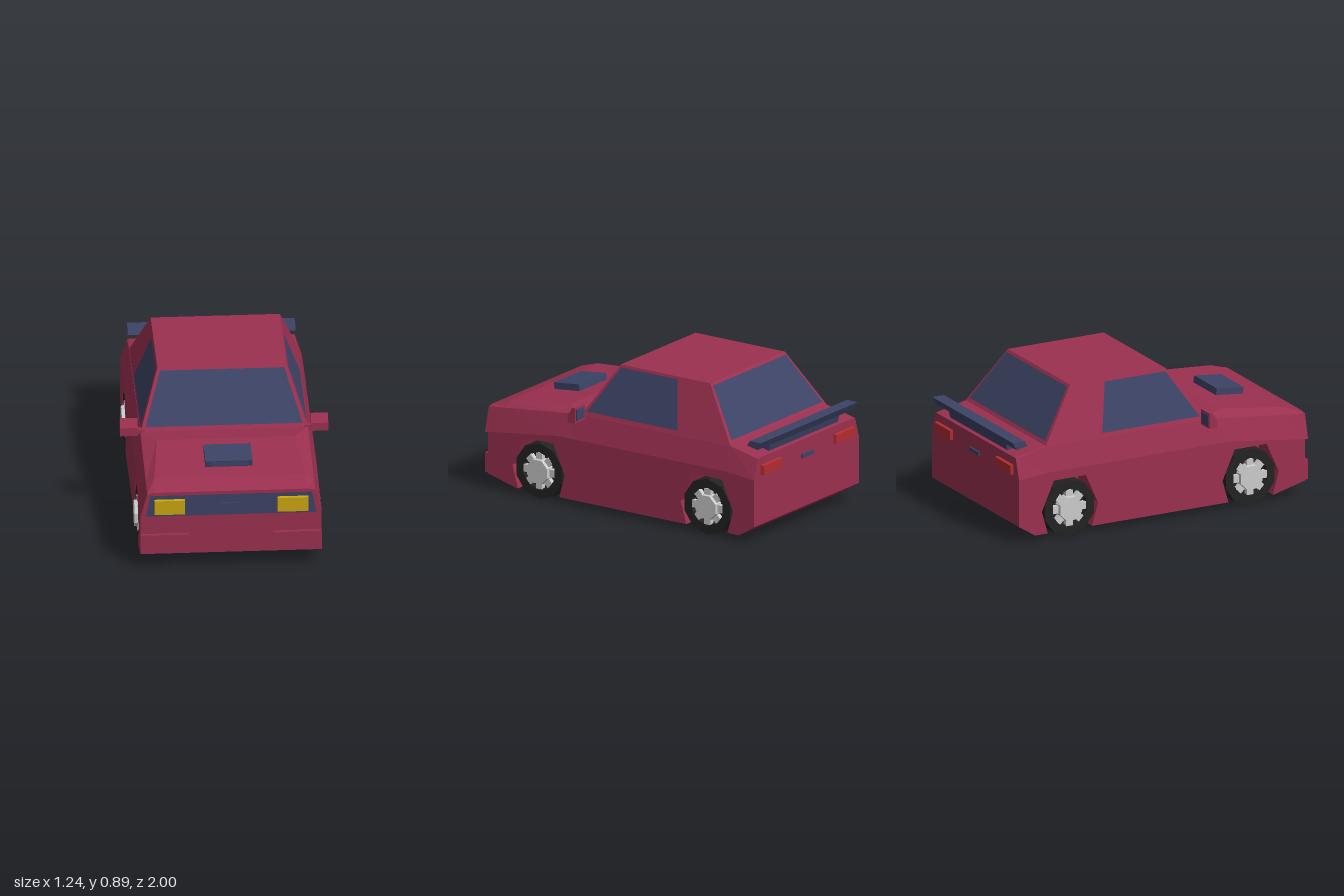
import * as THREE from 'three';

const mat = (name, color) => Object.assign(new THREE.MeshStandardMaterial({ color }), { name });

export function createModel() {
  const paint = mat('body red', 0x9b3050);
  const navy = mat('navy trim and glass', 0x3c4365);
  const yellow = mat('headlight yellow', 0xcaa511);
  const red = mat('tail light red', 0xb32c30);
  const black = mat('tyre black', 0x222222);
  const silver = mat('hub silver', 0xcccccc);
  const car = new THREE.Group();
  car.name = 'car';

  const add = (name, geo, material, parent = car) => {
    const mesh = new THREE.Mesh(geo, material);
    mesh.name = name;
    parent.add(mesh);
    return mesh;
  };
  const flat = (geo) => {
    const g = geo.index ? geo.toNonIndexed() : geo;
    g.computeVertexNormals();
    return g;
  };
  const box = (w, h, d, x, y, z) => new THREE.BoxGeometry(w, h, d).translate(x, y, z);
  const shapeOf = (pts) => new THREE.Shape(pts.map(([a, b]) => new THREE.Vector2(a, b)));

  // Side profile of [z, y] points, extruded from x0 to x1
  const sideExtrude = (pts, x0, x1) =>
    new THREE.ExtrudeGeometry(shapeOf(pts), { depth: x1 - x0, bevelEnabled: false })
      .rotateY(-Math.PI / 2).translate(x1, 0, 0);

  // Skin between rings; each ring runs anticlockwise seen from the first ring's side
  const loft = (rings) => {
    const p = [];
    const tri = (...v) => v.forEach((q) => p.push(...q));
    const n = rings[0].length, last = rings[rings.length - 1];
    for (let k = 0; k < rings.length - 1; k++) {
      for (let i = 0; i < n; i++) {
        const j = (i + 1) % n, a = rings[k], b = rings[k + 1];
        tri(a[i], b[i], a[j]);
        tri(a[j], b[i], b[j]);
      }
    }
    for (let i = 1; i < n - 1; i++) {
      tri(rings[0][0], rings[0][i], rings[0][i + 1]);
      tri(last[0], last[i + 1], last[i]);
    }
    const g = new THREE.BufferGeometry();
    g.setAttribute('position', new THREE.Float32BufferAttribute(p, 3));
    return flat(g);
  };

  // Flat pane from four anticlockwise corners, lifted slightly along its normal
  const pane = (corners) => {
    const [a, b, c, d] = corners.map((v) => new THREE.Vector3(...v));
    const n = b.clone().sub(a).cross(c.clone().sub(a)).normalize().multiplyScalar(0.004);
    const g = new THREE.BufferGeometry().setFromPoints([a, b, c, a, c, d].map((v) => v.clone().add(n)));
    g.computeVertexNormals();
    return g;
  };

  // Lower body: solid core plus side walls with wheel arches
  const axles = [0.59, -0.635];
  const arch = (c) => [[0.15, 0.03], [0.19, 0.17], [0.108, 0.355], [-0.108, 0.355], [-0.19, 0.17], [-0.15, 0.03]]
    .map(([z, y]) => [c + z, y]);
  const nose = [[0.96, 0.085], [0.75, 0.03]];
  const tail = [[-0.87, 0.03], [-0.98, 0.1], [-0.98, 0.39], [-0.78, 0.41], [0.45, 0.41], [0.96, 0.343]];
  add('lowerBodyCore', sideExtrude([...nose, ...tail], -0.39, 0.39), paint);
  const wall = [...nose, ...axles.flatMap(arch), ...tail];
  add('leftLowerSide', sideExtrude(wall, 0.39, 0.54), paint);
  add('rightLowerSide', sideExtrude(wall, -0.54, -0.39), paint);

  // Front bumper: raised centre with recessed upper corners
  add('frontBumper', new THREE.ExtrudeGeometry(shapeOf([
    [-0.54, 0.09], [0.54, 0.09], [0.54, 0.213], [0.25, 0.213],
    [0.25, 0.341], [-0.25, 0.341], [-0.25, 0.213], [-0.54, 0.213],
  ]), { depth: 0.025, bevelEnabled: false }).translate(0, 0, 0.955), paint);

  // Upper body: z, belt height, edge height, crown half width, crown height
  add('upperBody', loft([
    [0.98, 0.34, 0.49, 0.46, 0.497],
    [0.86, 0.356, 0.502, 0.45, 0.535],
    [0.45, 0.41, 0.545, 0.41, 0.577],
    [0.31, 0.41, 0.56, 0.49, 0.563],
    [-0.78, 0.41, 0.56, 0.49, 0.563],
    [-0.98, 0.39, 0.515, 0.49, 0.52],
  ].map(([z, belt, edge, cx, cy]) => [
    [0.54, belt, z], [0.5, edge, z], [cx, cy, z], [-cx, cy, z], [-0.5, edge, z], [-0.54, belt, z],
  ])), paint);

  // Cabin
  const rect = (x, y, zf, zb) => [[x, y, zf], [x, y, zb], [-x, y, zb], [-x, y, zf]];
  add('cabin', loft([rect(0.385, 0.88, 0.1, -0.55), rect(0.5, 0.555, 0.31, -0.78)]), paint);

  // Windows lie on the sloping cabin faces
  const slope = (y) => (0.88 - y) / 0.325;
  const sideX = (y) => 0.385 + 0.115 * slope(y);
  const frontZ = (y) => 0.1 + 0.21 * slope(y);
  const backZ = (y) => -0.55 - 0.23 * slope(y);
  const lo = 0.582, hi = 0.864;
  add('windscreen', pane([[-0.468, lo, frontZ(lo)], [0.468, lo, frontZ(lo)],
    [0.37, hi, frontZ(hi)], [-0.37, hi, frontZ(hi)]]), navy);
  add('rearWindow', pane([[0.468, lo, backZ(lo)], [-0.468, lo, backZ(lo)],
    [-0.375, hi, backZ(hi)], [0.375, hi, backZ(hi)]]), navy);
  const sideWindow = [[0.27, lo], [-0.39, lo], [-0.32, hi], [0.09, hi]];
  add('leftWindow', pane(sideWindow.map(([z, y]) => [sideX(y), y, z])), navy);
  add('rightWindow', pane(sideWindow.map(([z, y]) => [-sideX(y), y, z]).reverse()), navy);

  // Grille, small blocks at nose and tail
  add('grille', pane([[-0.508, 0.342, 0.98], [0.508, 0.342, 0.98], [0.482, 0.478, 0.98], [-0.482, 0.478, 0.98]]), navy);
  add('grilleBlock', box(0.116, 0.023, 0.016, 0, 0.409, 0.984), navy);
  add('bootHandle', box(0.116, 0.024, 0.016, 0, 0.42, -0.984), navy);

  // Bonnet scoop with an inset slot
  add('bonnetScoop', sideExtrude([[0.755, 0.535], [0.762, 0.585], [0.58, 0.605], [0.57, 0.55]], -0.14, 0.14), navy);
  add('scoopSlot', box(0.22, 0.022, 0.008, 0, 0.567, 0.759), navy);

  // Rear wing on its stand
  add('rearWing', sideExtrude([[-1, 0.617], [-0.92, 0.617], [-0.9, 0.585], [-0.975, 0.57]], -0.5, 0.5), navy);
  add('wingStand', sideExtrude([[-0.97, 0.582], [-0.9, 0.588], [-0.875, 0.535], [-0.955, 0.515]], -0.355, 0.355), navy);

  // Lights, with tapered outer faces
  const face = (x, y, w, h, z) => [[x - w, y - h, z], [x + w, y - h, z], [x + w, y + h, z], [x - w, y + h, z]];
  for (const [side, s] of [['left', 1], ['right', -1]]) {
    add(side + 'Headlight', loft([face(s * 0.367, 0.404, 0.088, 0.046, 1), face(s * 0.367, 0.402, 0.098, 0.054, 0.97)]), yellow);
    add(side + 'TailLight', loft([face(s * 0.375, 0.44, 0.1, 0.033, -0.97), face(s * 0.375, 0.44, 0.094, 0.028, -1)]), red);

    // Door mirror
    const housing = [[0.318, 0.54], [0.318, 0.592], [0.288, 0.635], [0.268, 0.635], [0.268, 0.54]];
    add(side + 'Mirror', sideExtrude(housing, s > 0 ? 0.515 : -0.62, s > 0 ? 0.62 : -0.515), paint);
    add(side + 'MirrorStalk', box(0.05, 0.03, 0.03, s * 0.5, 0.558, 0.292), paint);
    add(side + 'MirrorGlass', box(0.08, 0.068, 0.006, s * 0.5675, 0.588, 0.267), navy);
  }

  // Wheels: ten-sided tyre, silver hub and eight short spokes, built facing +y
  const tyreProfile = [[0, 0], [0.1735, 0], [0.1735, 0.135], [0.118, 0.135], [0.112, 0.105], [0, 0.105]]
    .map(([r, y]) => new THREE.Vector2(r, y));
  const tyreGeo = flat(new THREE.LatheGeometry(tyreProfile, 10));
  const hubGeo = flat(new THREE.CylinderGeometry(0.078, 0.086, 0.06, 8).translate(0, 0.125, 0));
  const spokeGeo = box(0.046, 0.03, 0.04, 0, 0.12, 0.092);
  axles.forEach((z, i) => {
    for (const s of [1, -1]) {
      const wheel = new THREE.Group();
      wheel.name = (i ? 'rear' : 'front') + (s > 0 ? 'Left' : 'Right') + 'Wheel';
      add('tyre', tyreGeo, black, wheel).rotation.y = Math.PI / 10;
      add('hub', hubGeo, silver, wheel).rotation.y = Math.PI / 8;
      for (let k = 0; k < 8; k++) add('spoke', spokeGeo, silver, wheel).rotation.y = k * Math.PI / 4;
      wheel.rotation.z = -s * Math.PI / 2;
      wheel.position.set(s * 0.4, 0.165, z);
      car.add(wheel);
    }
  });
  return car;
}
